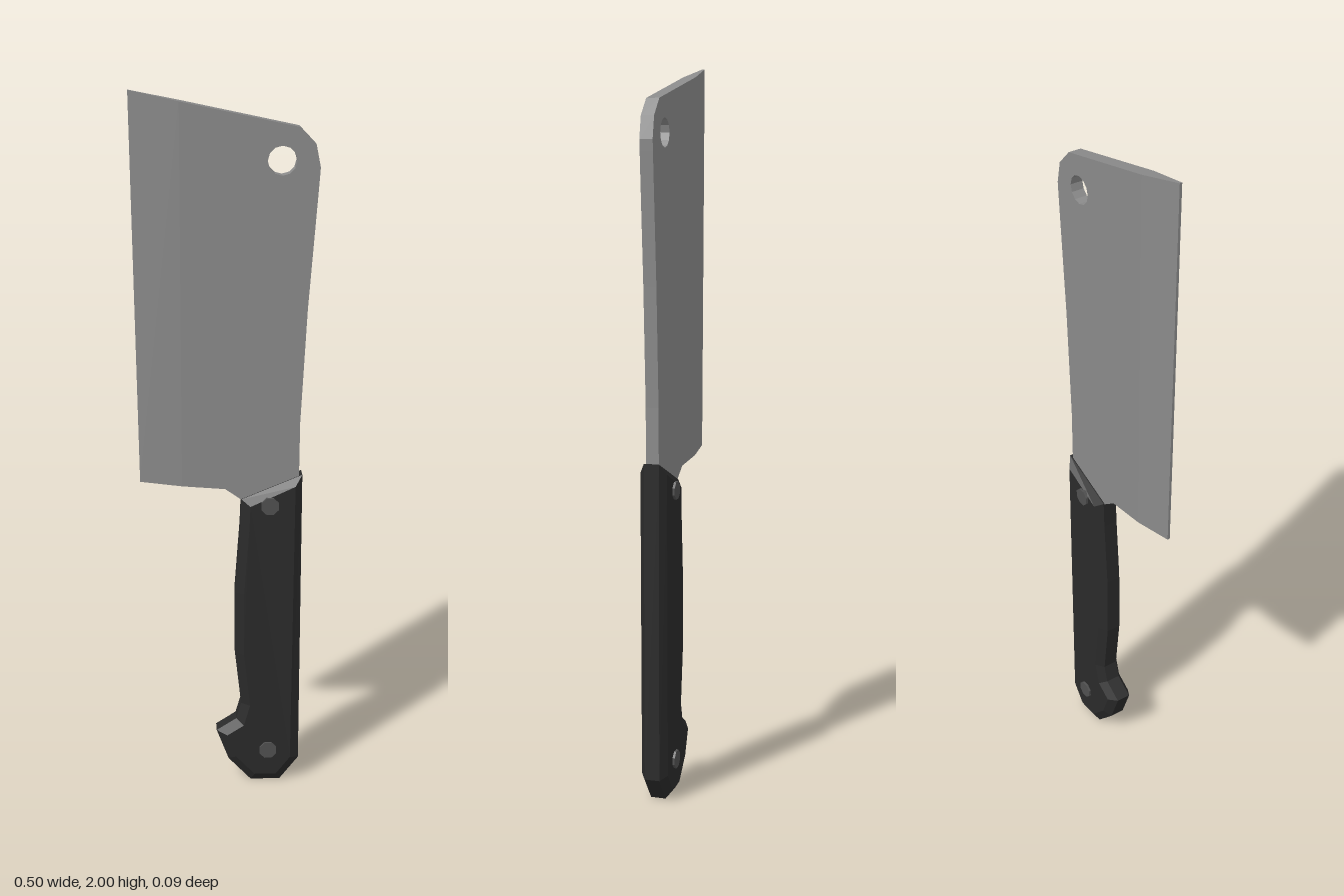
import * as THREE from 'three';

const makeShape = (pts) => new THREE.Shape(pts.map(([x, y]) => new THREE.Vector2(x, y)));

// Extrude centred on z = 0
function slab(shape, depth, bevel = {}) {
  const geo = new THREE.ExtrudeGeometry(shape, { depth, bevelEnabled: false, curveSegments: 6, ...bevel });
  return geo.translate(0, 0, -depth / 2);
}

export function createModel() {
  const steel = new THREE.MeshStandardMaterial({ name: 'steel', color: 0x8a8a8a });
  const black = new THREE.MeshStandardMaterial({ name: 'blackHandle', color: 0x2a2a2a });
  const rivetGrey = new THREE.MeshStandardMaterial({ name: 'rivetGrey', color: 0x505050 });
  for (const m of [steel, black, rivetGrey]) m.flatShading = true;

  const model = new THREE.Group();
  model.name = 'cleaver';
  const add = (geo, mat, name, parent = model) => {
    const mesh = new THREE.Mesh(geo, mat);
    mesh.name = name;
    parent.add(mesh);
    return mesh;
  };

  const blade = new THREE.Group();
  blade.name = 'blade';
  model.add(blade);

  // Flat part of the blade, with hanging hole
  const body = makeShape([
    [-0.12, 0.92], [0, 0.91], [0.045, 0.878], [0.1, 0.86], [0.19, 0.9], [0.205, 0.94],
    [0.206, 1.1], [0.222, 1.42], [0.248, 1.77], [0.25, 1.8], [0.238, 1.86],
    [0.195, 1.905], [-0.12, 1.972],
  ]);
  const hole = new THREE.Path();
  hole.absarc(0.15, 1.818, 0.039, 0, Math.PI * 2, true);
  body.holes.push(hole);
  add(slab(body, 0.036), steel, 'bladeBody', blade);

  // Cutting edge: a strip thinned towards its outer side
  const edge = slab(makeShape([[-0.236, 0.93], [-0.12, 0.92], [-0.12, 1.972], [-0.252, 2]]), 0.036);
  const p = edge.attributes.position;
  for (let i = 0; i < p.count; i++) if (p.getX(i) < -0.2) p.setZ(i, p.getZ(i) * 0.2);
  edge.computeVertexNormals();
  add(edge, steel, 'cuttingEdge', blade);

  // Handle with chamfered rim and a finger hook at the butt
  const grip = makeShape([
    [0.045, 0.88], [0.042, 0.8], [0.028, 0.6], [0.028, 0.41], [0.046, 0.25], [0.032, 0.2],
    [-0.025, 0.163], [0.01, 0.07], [0.075, 0], [0.16, 0], [0.214, 0.07], [0.214, 0.95],
  ]);
  add(slab(grip, 0.042, {
    bevelEnabled: true, bevelSegments: 1, bevelThickness: 0.0165, bevelSize: 0.025, bevelOffset: -0.025,
  }), black, 'handle');

  // Rivets through the handle
  for (const y of [0.865, 0.105]) {
    const rivet = add(new THREE.CylinderGeometry(0.026, 0.026, 0.088, 8), rivetGrey, 'rivet');
    rivet.rotation.set(Math.PI / 2, Math.PI / 8, 0);
    rivet.position.set(0.124, y, 0);
  }
  return model;
}
